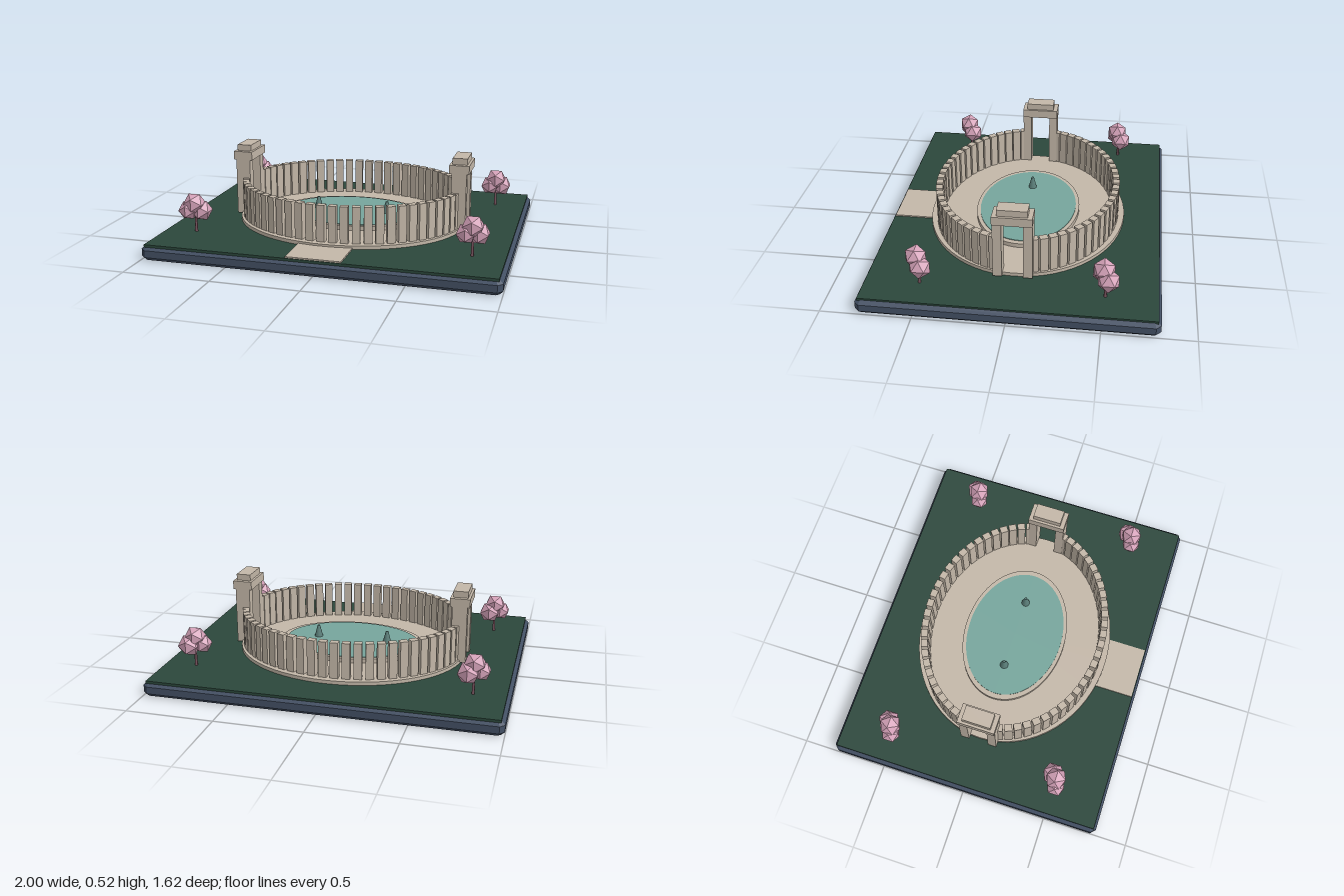
import * as THREE from 'three';

const paint = (name, color) => {
  const m = new THREE.MeshStandardMaterial({ color });
  m.name = name;
  return m;
};

export function createModel() {
  const root = new THREE.Group();
  root.name = 'memorialGarden';
  const slate = paint('slate', 0x435064);
  const grass = paint('grass', 0x2b473b);
  const stone = paint('stone', 0xc3b7a8);
  const water = paint('water', 0x76a59c);
  const bronze = paint('fountainGrey', 0x5a7d78);
  const blossom = paint('blossom', 0xd6a3ba);
  const bark = paint('bark', 0x7a5560);

  const add = (parent, name, geometry, material, x = 0, y = 0, z = 0) => {
    const mesh = new THREE.Mesh(geometry, material);
    mesh.name = name;
    mesh.position.set(x, y, z);
    parent.add(mesh);
    return mesh;
  };
  // Box given by its bottom and top heights
  const block = (parent, name, w, d, y0, y1, material, x = 0, z = 0) =>
    add(parent, name, new THREE.BoxGeometry(w, y1 - y0, d), material, x, (y0 + y1) / 2, z);
  // Oval slab with half-axes a and b
  const oval = (name, a, b, y0, y1, material) => {
    const g = new THREE.CylinderGeometry(1, 1, y1 - y0, 64).scale(a, 1, b);
    return add(root, name, g, material, 0, (y0 + y1) / 2, 0);
  };

  // Bevelled base slab with clipped corners
  const hx = 0.98, hz = 0.79, c = 0.015;
  const outline = new THREE.Shape([
    [hx - c, -hz], [hx, -hz + c], [hx, hz - c], [hx - c, hz],
    [-hx + c, hz], [-hx, hz - c], [-hx, -hz + c], [-hx + c, -hz],
  ].map(([x, y]) => new THREE.Vector2(x, y)));
  const baseGeometry = new THREE.ExtrudeGeometry(outline, {
    depth: 0.04, bevelEnabled: true, bevelSize: 0.02, bevelThickness: 0.02, bevelSegments: 1,
  }).rotateX(-Math.PI / 2).translate(0, 0.02, 0);
  add(root, 'base', baseGeometry, slate);
  block(root, 'lawn', 1.96, 1.59, 0.075, 0.09, grass);

  // Paving and pool
  block(root, 'entryPath', 0.31, 0.27, 0.085, 0.098, stone, 0, 0.655);
  oval('plaza', 0.68, 0.58, 0.085, 0.11, stone);
  oval('poolRim', 0.43, 0.308, 0.105, 0.135, stone);
  oval('poolWater', 0.4, 0.287, 0.13, 0.139, water);
  for (const x of [-0.213, 0.213]) {
    add(root, 'fountain', new THREE.CylinderGeometry(0.008, 0.026, 0.07, 12), bronze, x, 0.172, 0);
  }

  // Two arcs of pillars around the plaza
  const pillarGeometry = new THREE.BoxGeometry(0.046, 0.21, 0.04);
  const a = 0.65, b = 0.525, count = 28;
  for (const side of [-1, 1]) {
    const arc = new THREE.Group();
    arc.name = side > 0 ? 'frontPillars' : 'backPillars';
    root.add(arc);
    for (let i = 0; i < count; i++) {
      const t = THREE.MathUtils.degToRad(12 + (156 * i) / (count - 1));
      const x = a * Math.cos(t), z = side * b * Math.sin(t);
      const pillar = add(arc, 'pillar', pillarGeometry, stone, x, 0.215, z);
      pillar.rotation.y = Math.atan2(x / (a * a), z / (b * b));
    }
  }

  // Gateway at each end
  for (const side of [-1, 1]) {
    const gate = new THREE.Group();
    gate.name = side > 0 ? 'leftGate' : 'rightGate';
    gate.position.x = side * 0.657;
    for (const z of [-0.084, 0.084]) block(gate, 'gatePost', 0.087, 0.05, 0.098, 0.435, stone, 0, z);
    block(gate, 'gateLintel', 0.115, 0.22, 0.433, 0.483, stone);
    block(gate, 'gateCap', 0.086, 0.168, 0.483, 0.52, stone);
    root.add(gate);
  }

  // Blossom trees near the corners: [x, y, z, radius] for each clump
  const clumps = [[0, 0.26, 0.005, 0.065], [0.03, 0.215, -0.02, 0.065], [-0.035, 0.22, 0.015, 0.058]];
  for (const x of [-0.8, 0.8]) {
    for (const z of [-0.505, 0.5]) {
      const tree = new THREE.Group();
      tree.name = 'blossomTree';
      tree.position.set(x, 0, z);
      add(tree, 'trunk', new THREE.CylinderGeometry(0.006, 0.009, 0.13, 6), bark, 0, 0.15, -0.006);
      for (const [cx, cy, cz, r] of clumps) {
        add(tree, 'blossomClump', new THREE.IcosahedronGeometry(r, 0), blossom, cx, cy, cz);
      }
      root.add(tree);
    }
  }
  return root;
}
